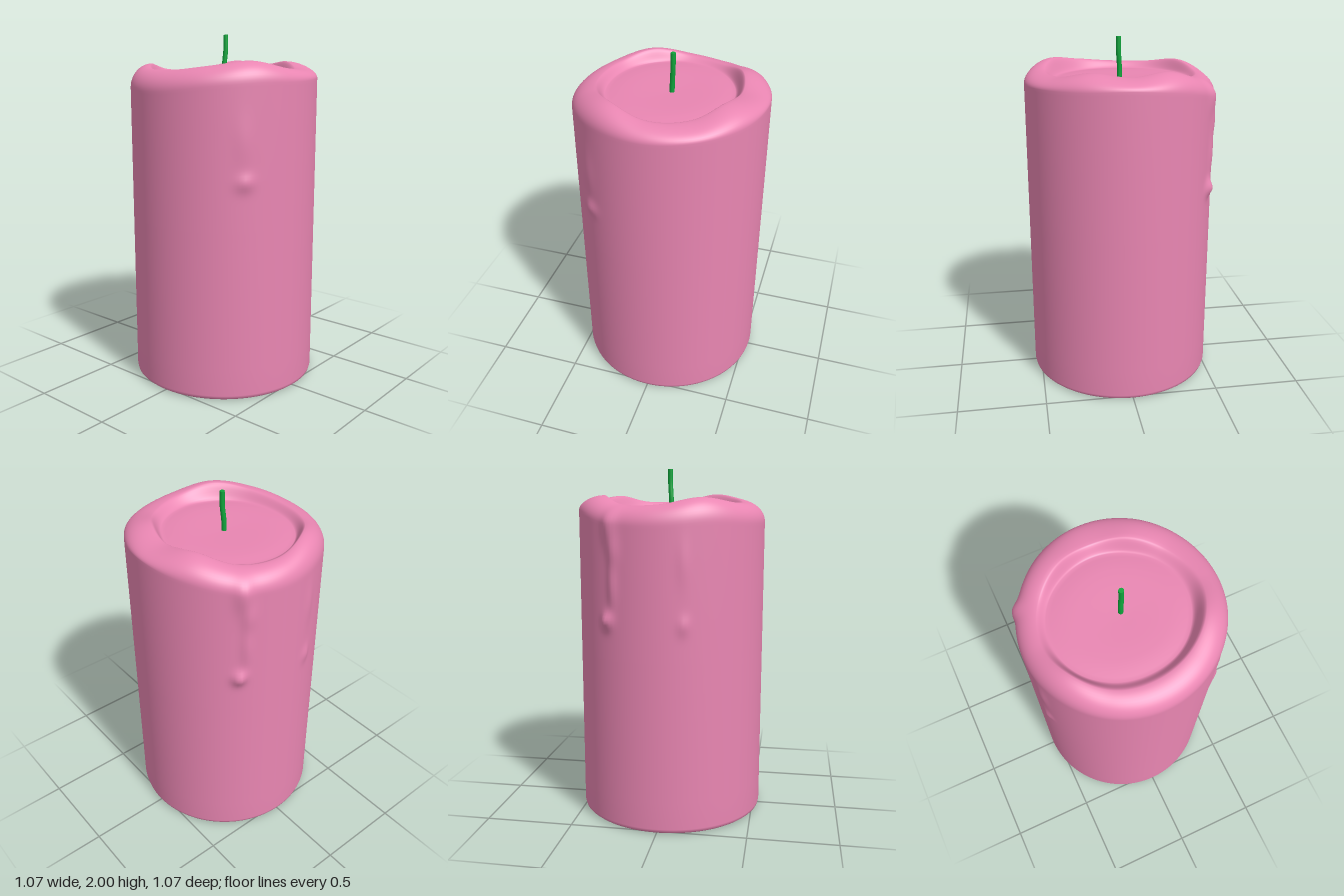
import * as THREE from 'three';

const R = 0.537, SEG = 180, FLOOR = 1.778;

// Rim shape every 30 degrees, starting at +x and turning towards +z
const CREST_Y = [1.82, 1.86, 1.835, 1.812, 1.812, 1.838, 1.80, 1.80, 1.85, 1.83, 1.85, 1.815];
const CREST_R = [0.43, 0.42, 0.41, 0.41, 0.425, 0.43, 0.435, 0.42, 0.40, 0.39, 0.39, 0.41];
const SHOULDER_Y = [1.75, 1.75, 1.73, 1.70, 1.70, 1.71, 1.69, 1.70, 1.75, 1.78, 1.77, 1.76];
const POOL_R = [0.355, 0.355, 0.355, 0.355, 0.37, 0.385, 0.385, 0.37, 0.35, 0.34, 0.335, 0.345];

// Wax runs: angle in degrees, y, half width, half height, thickness
const DRIPS = [
  [209, 1.70, 0.045, 0.10, 0.022], [206, 1.56, 0.035, 0.08, 0.014], [207, 1.38, 0.028, 0.13, 0.014],
  [211, 1.18, 0.036, 0.045, 0.032],
  [39, 1.45, 0.05, 0.13, 0.007], [38, 1.23, 0.05, 0.045, 0.016],
  [164, 1.50, 0.03, 0.12, 0.008], [164, 1.17, 0.03, 0.05, 0.012],
];

// Smooth periodic interpolation of a ring of values
function ring(values, theta) {
  const n = values.length, t = (theta / (2 * Math.PI)) * n, i = Math.floor(t), f = t - i;
  const v = k => values[(i + k + n) % n];
  return v(0) + 0.5 * f * (v(1) - v(-1) + f * (2 * v(-1) - 5 * v(0) + 4 * v(1) - v(2)
    + f * (3 * (v(0) - v(1)) + v(2) - v(-1))));
}

function dripAt(theta, y) {
  let sum = 0;
  for (const [deg, cy, w, h, depth] of DRIPS) {
    const d = theta - THREE.MathUtils.degToRad(deg);
    const a = Math.atan2(Math.sin(d), Math.cos(d)) * R / w, b = (y - cy) / h;
    sum += depth * Math.exp(-a * a - b * b);
  }
  return sum;
}

// Cross-section at one angle, from the base centre over the rim to the pool centre
function section(theta) {
  const yc = ring(CREST_Y, theta), rc = ring(CREST_R, theta);
  const ys = ring(SHOULDER_Y, theta), rp = ring(POOL_R, theta);
  const pts = [[0, 0], [0.3, 0], [0.505, 0], [0.522, 0.003], [0.533, 0.012], [R, 0.028]];
  // side wall, with closer rows where the wax has run
  for (let i = 1; i <= 6; i++) pts.push([R, 0.028 + i * 0.155]);
  const y0 = 0.958, rows = 48;
  for (let i = 1; i <= rows; i++) {
    const y = y0 + (ys - y0) * i / rows;
    pts.push([R + dripAt(theta, y), y]);
  }
  // rounded shoulder
  for (let i = 1; i <= 12; i++) {
    const a = (i / 12) * Math.PI / 2;
    const y = ys + (yc - ys) * Math.sin(a);
    pts.push([rc + (R - rc) * Math.cos(a) + dripAt(theta, y) * Math.cos(a), y]);
  }
  // inner wall down to the pool
  for (let i = 1; i <= 8; i++) {
    const t = i / 8;
    pts.push([rc + (rp - rc) * t, yc + (FLOOR - 0.006 - yc) * t * t * (3 - 2 * t)]);
  }
  // pool floor
  for (const [k, dy] of [[0.94, -0.005], [0.85, -0.001], [0.7, 0.001], [0.45, 0], [0.2, -0.003], [0, -0.004]])
    pts.push([rp * k, FLOOR + dy]);
  return pts;
}

function waxGeometry() {
  const pos = [], index = [];
  let rows = 0;
  for (let s = 0; s < SEG; s++) {
    const theta = (s / SEG) * Math.PI * 2, pts = section(theta);
    rows = pts.length;
    for (const [r, y] of pts) pos.push(r * Math.cos(theta), y, r * Math.sin(theta));
  }
  for (let s = 0; s < SEG; s++) {
    const a = s * rows, b = ((s + 1) % SEG) * rows;
    for (let i = 0; i < rows - 1; i++) {
      if (i > 0) index.push(a + i, a + i + 1, b + i);
      if (i < rows - 2) index.push(b + i, a + i + 1, b + i + 1);
      if (i === 0) continue;
    }
  }
  const geo = new THREE.BufferGeometry();
  geo.setAttribute('position', new THREE.Float32BufferAttribute(pos, 3));
  geo.setIndex(index);
  geo.computeVertexNormals();
  // the centre points of base and pool share one normal each
  const normal = geo.attributes.normal;
  for (let s = 0; s < SEG; s++) {
    normal.setXYZ(s * rows, 0, -1, 0);
    normal.setXYZ(s * rows + rows - 1, 0, 1, 0);
  }
  return geo;
}

export function createModel() {
  const candle = new THREE.Group();
  candle.name = 'candle';

  const wax = new THREE.Mesh(waxGeometry(), new THREE.MeshStandardMaterial({ color: 0xe986b2 }));
  wax.name = 'waxBody';
  candle.add(wax);

  // slightly bent wick with a flat tip
  const wick = new THREE.Group();
  wick.name = 'wick';
  const green = new THREE.MeshStandardMaterial({ color: 0x0fa53c });
  const path = new THREE.CatmullRomCurve3([
    new THREE.Vector3(0, 1.75, -0.003), new THREE.Vector3(0, 1.83, -0.004),
    new THREE.Vector3(0.006, 1.92, -0.01), new THREE.Vector3(0.005, 2, -0.01),
  ]);
  const stem = new THREE.Mesh(new THREE.TubeGeometry(path, 16, 0.014, 12), green);
  stem.name = 'wickStem';
  const tip = new THREE.Mesh(new THREE.CircleGeometry(0.014, 12).rotateX(-Math.PI / 2), green);
  tip.name = 'wickTip';
  tip.position.set(0.005, 2, -0.01);
  wick.add(stem, tip);
  candle.add(wick);

  return candle;
}
